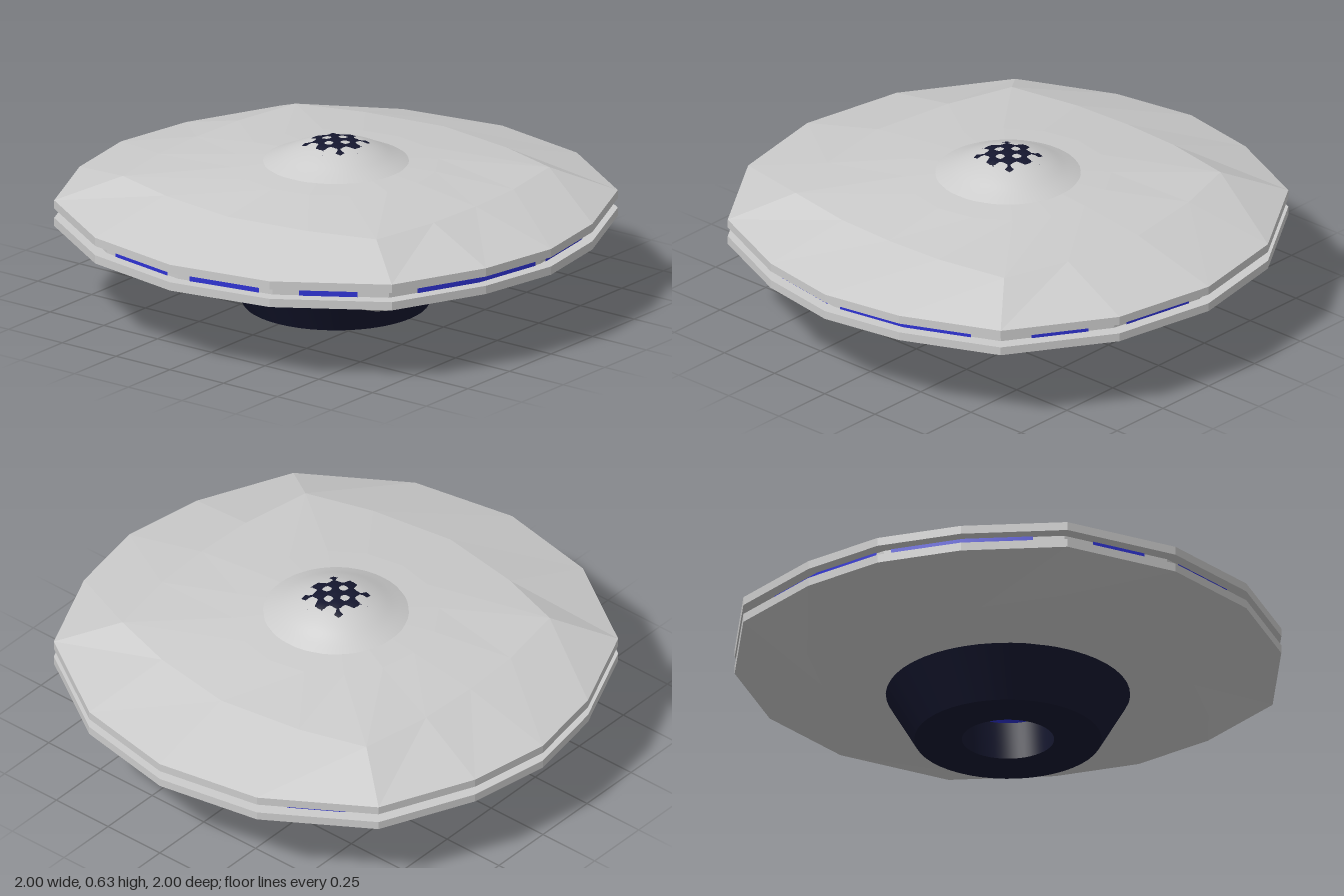
import * as THREE from 'three';
import { toCreasedNormals } from 'three/addons/utils/BufferGeometryUtils.js';

const grey = new THREE.MeshStandardMaterial({ color: 0xcccccc });
const hullGrey = new THREE.MeshStandardMaterial({ color: 0xcccccc, flatShading: true });
const navy = new THREE.MeshStandardMaterial({ color: 0x15172f, side: THREE.DoubleSide });
const blue = new THREE.MeshStandardMaterial({ color: 0x2e32d2, side: THREE.DoubleSide });

// Quarter outlines as [x, z], from the front (+z) round to the left (+x)
const OUTER = [[0, 1], [0.32, 0.945], [0.68, 0.785], [0.925, 0.405], [1, 0]];
const MID = [[0, 0.65], [0.24, 0.64], [0.52, 0.59], [0.6, 0.33], [0.65, 0]];
const round = (r) => [0, 1, 2, 3, 4].map((i) => {
  const a = (i * Math.PI) / 8;
  return [r * Math.sin(a), r * Math.cos(a)];
});
const scaled = (q, s) => q.map(([x, z]) => [x * s, z * s]);

// Mirrors a quarter outline into a closed 16-point ring at height y
function ring(quarter, y) {
  const back = quarter.slice(0, 4).reverse().map(([x, z]) => [x, -z]);
  const half = [...quarter, ...back];
  const other = half.slice(1, -1).reverse().map(([x, z]) => [-x, z]);
  return [...half, ...other, half[0]].map(([x, z]) => [x, y, z]);
}

// Skins a stack of equal-length rows, listed from bottom to top
function loft(rows) {
  const n = rows[0].length;
  const index = [];
  for (let j = 0; j < rows.length - 1; j++) {
    for (let i = 0; i < n - 1; i++) {
      const a = j * n + i, d = a + n;
      index.push(a, a + 1, d + 1, a, d + 1, d);
    }
  }
  const g = new THREE.BufferGeometry();
  g.setAttribute('position', new THREE.Float32BufferAttribute(rows.flat(2), 3));
  g.setIndex(index);
  g.computeVertexNormals();
  return g;
}

function lathe(points, segments) {
  const profile = points.map(([r, y]) => new THREE.Vector2(r, y));
  return toCreasedNormals(new THREE.LatheGeometry(profile, segments), 0.6);
}

export function createModel() {
  const model = new THREE.Group();
  const add = (name, geometry, material, parent = model) => {
    const mesh = new THREE.Mesh(geometry, material);
    mesh.name = name;
    parent.add(mesh);
    return mesh;
  };

  // Saucer hull with a recessed groove round the rim
  add('lowerHull', loft([
    ring(round(0.15), 0.178), ring(round(0.44), 0.18), ring(MID, 0.22), ring(OUTER, 0.308),
  ]), hullGrey);
  const groove = scaled(OUTER, 0.95);
  add('rim', loft([
    ring(OUTER, 0.308), ring(OUTER, 0.34), ring(groove, 0.34),
    ring(groove, 0.376), ring(OUTER, 0.376), ring(OUTER, 0.408),
  ]), hullGrey);
  add('upperHull', loft([
    ring(OUTER, 0.408), ring(MID, 0.5), ring(round(0.38), 0.534),
    ring(round(0.27), 0.543), ring(round(0), 0.545),
  ]), hullGrey);

  // Blue windows set in the groove, given as spans along the quarter outline
  const windows = new THREE.Group();
  windows.name = 'windows';
  model.add(windows);
  const glass = scaled(OUTER, 0.957);
  const at = (u) => {
    const i = Math.floor(u), t = u - i;
    const p = glass[i], q = glass[Math.min(i + 1, 4)];
    return [p[0] + (q[0] - p[0]) * t, p[1] + (q[1] - p[1]) * t];
  };
  for (const span of [[0.1, 1, 1.69], [2.27, 2.77], [3.14, 3.87]]) {
    for (const sx of [1, -1]) {
      for (const sz of [1, -1]) {
        const path = span.map(at);
        if (sx * sz < 0) path.reverse();
        const row = (y) => path.map(([x, z]) => [x * sx, y, z * sz]);
        add('window', loft([row(0.341), row(0.375)]), blue, windows);
      }
    }
  }

  // Smooth dome that flares into the hull
  const dome = new THREE.SplineCurve([
    [0.275, 0.54], [0.22, 0.564], [0.16, 0.592], [0.1, 0.614], [0.05, 0.623], [0, 0.625],
  ].map(([r, y]) => new THREE.Vector2(r, y))).getPoints(20);
  dome[20].x = 0;
  add('dome', new THREE.LatheGeometry(dome, 48), grey);

  // Dark inner dome whose ripples break through the crown in patches
  const inner = new THREE.LatheGeometry(dome.slice(9), 48);
  const p = inner.attributes.position;
  for (let i = 0; i < p.count; i++) {
    const x = p.getX(i), z = p.getZ(i), r = Math.hypot(x, z);
    const ripple = Math.cos(x * 75) * Math.cos(z * 75) + 0.35 - (r / 0.125) ** 4;
    p.setY(i, p.getY(i) + 0.002 * Math.max(-2, ripple));
  }
  inner.computeVertexNormals();
  add('innerDome', inner, navy);

  // Tapered thruster under the hull, with a round well and a blue emitter inside
  add('thruster', lathe([
    [0.17, 0.145], [0.17, 0], [0.345, 0], [0.45, 0.182],
  ], 48), navy);
  const emitter = add('emitter', new THREE.CircleGeometry(0.17, 48), blue);
  emitter.rotation.x = Math.PI / 2;
  emitter.position.y = 0.144;

  return model;
}
